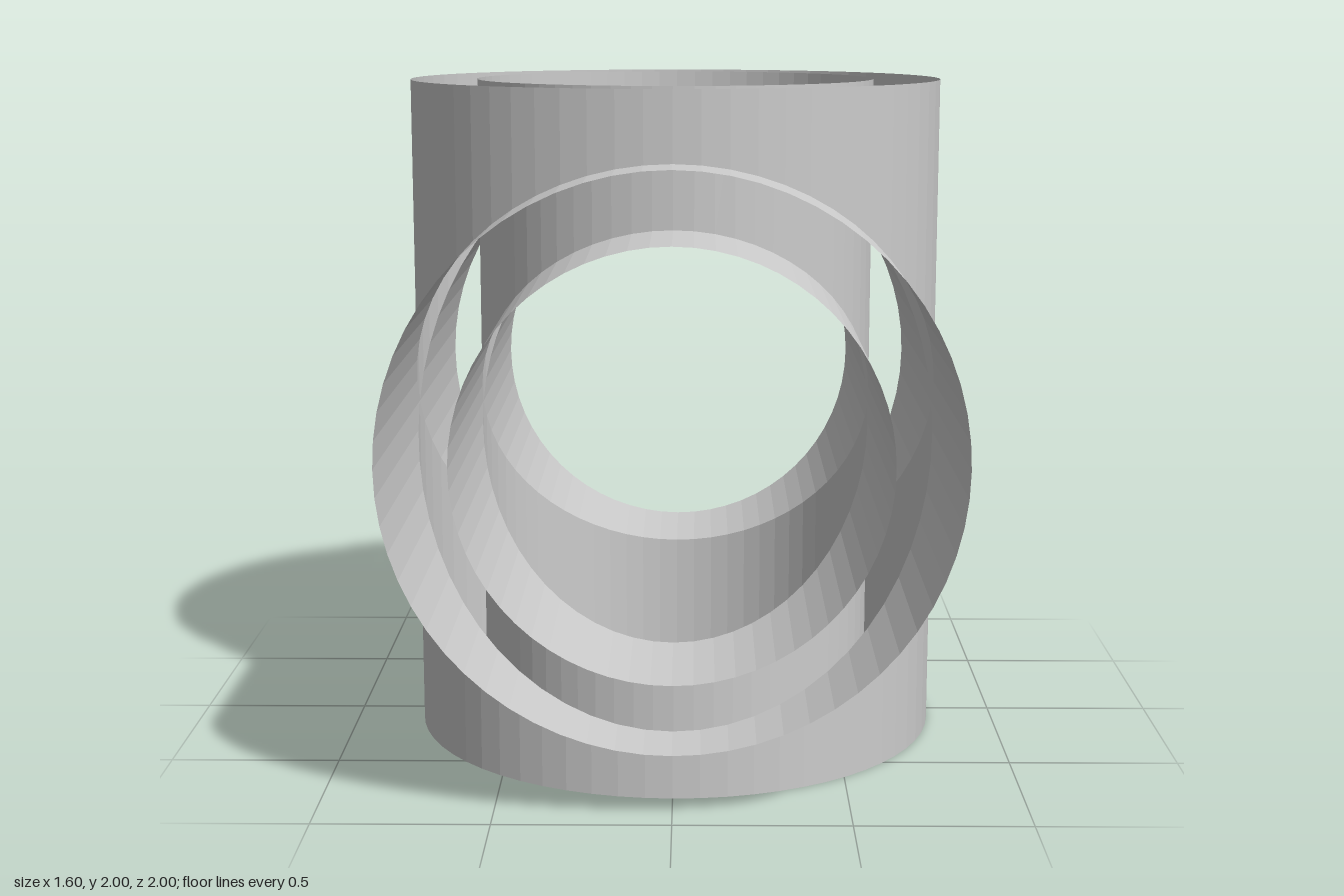
import * as THREE from 'three';

const SEGMENTS = 64;

// Open tube arm along +y, its inner end mitred at 45 degrees so four arms meet in a cross
function armGeometry(radius) {
  const geometry = new THREE.CylinderGeometry(radius, radius, 2, SEGMENTS, 1, true);
  const p = geometry.attributes.position;
  for (let i = 0; i < p.count; i++) {
    if (p.getY(i) < 0) p.setY(i, Math.abs(p.getZ(i)));
  }
  geometry.computeVertexNormals();
  return geometry;
}

export function createModel() {
  const model = new THREE.Group();
  model.name = 'crossPipe';

  const grey = new THREE.MeshStandardMaterial({
    color: 0xcccccc, flatShading: true, side: THREE.DoubleSide,
  });
  grey.name = 'light grey';

  // Two nested shells, each with top, front, bottom and back arms
  const shells = { outerShell: 0.8, innerShell: 0.6 };
  const arms = ['topArm', 'frontArm', 'bottomArm', 'backArm'];
  for (const [name, radius] of Object.entries(shells)) {
    const shell = new THREE.Group();
    shell.name = name;
    shell.position.y = 1;
    const geometry = armGeometry(radius);
    arms.forEach((arm, i) => {
      const mesh = new THREE.Mesh(geometry, grey);
      mesh.name = arm;
      mesh.rotation.x = i * Math.PI / 2;
      shell.add(mesh);
    });
    model.add(shell);
  }
  return model;
}
